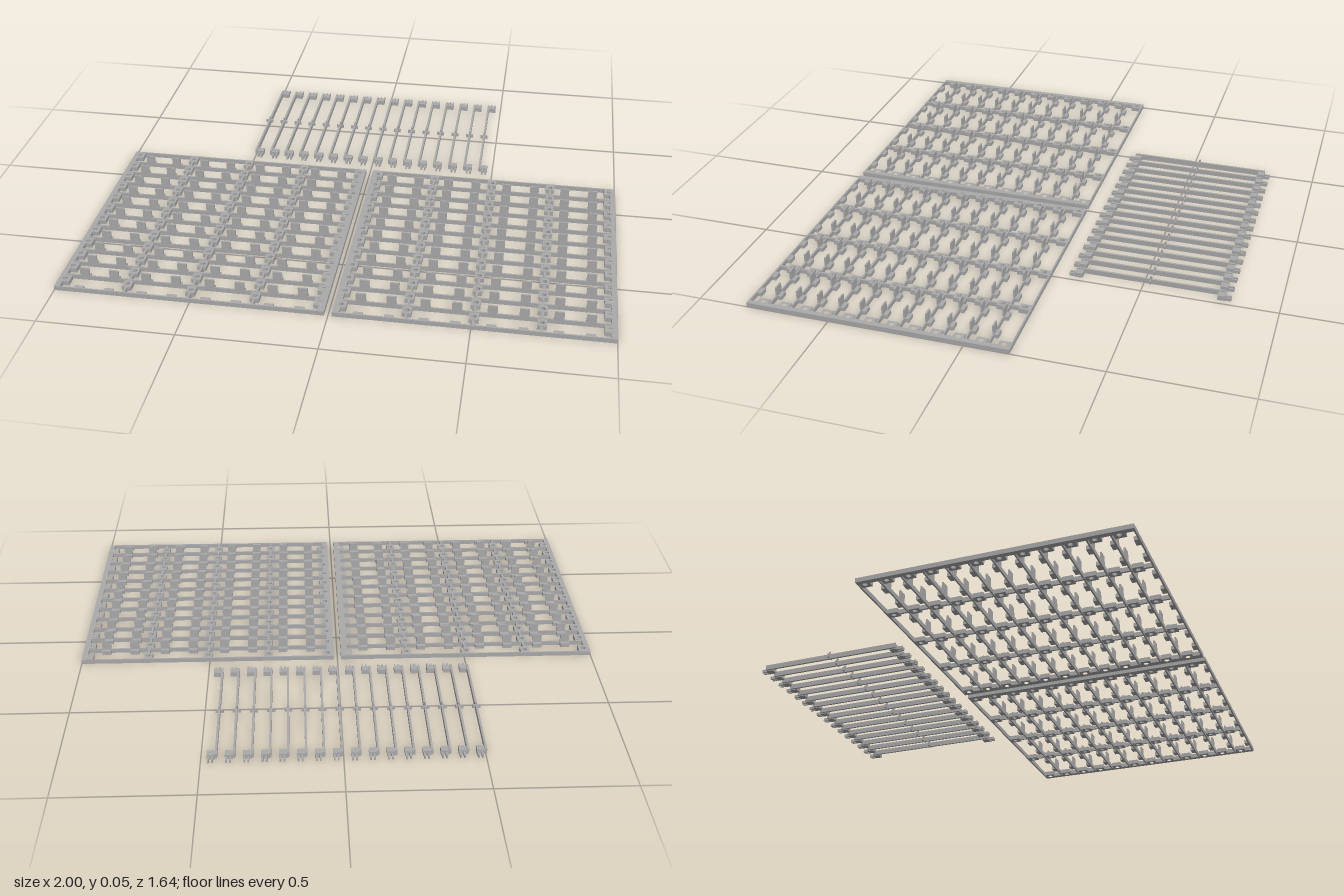
import * as THREE from 'three';

const gray = new THREE.MeshStandardMaterial({ color: 0xaaaaaa });
gray.name = 'plain gray';

const H = 0.017;            // frame height
const Z0 = -0.165;          // back edge of the grids
const CELLS = 12;
const PITCH = 0.98 / CELLS;
const HALF = 0.493;         // half width of one grid

function add(group, name, geometry, x = 0, y = 0, z = 0) {
  const mesh = new THREE.Mesh(geometry, gray);
  mesh.name = name;
  mesh.position.set(x, y, z);
  group.add(mesh);
}

// Box given by its limits on each axis
function block(group, name, x0, x1, y0, y1, z0, z1) {
  add(group, name, new THREE.BoxGeometry(x1 - x0, y1 - y0, z1 - z0),
    (x0 + x1) / 2, (y0 + y1) / 2, (z0 + z1) / 2);
}

// Plan shape (x, z) raised to height h
function raise(shape, h) {
  const g = new THREE.ExtrudeGeometry(shape, { depth: h, bevelEnabled: false, curveSegments: 6 });
  return g.rotateX(Math.PI / 2).translate(0, h, 0);
}

function punch(shape, x, z, r) {
  const hole = new THREE.Path();
  hole.absarc(x, z, r, 0, Math.PI * 2, true);
  shape.holes.push(hole);
}

// Side rail with a drilled lug in every cell; side is -1 or 1
function sideRail(side, railWidth) {
  const edge = side * HALF, inner = side * (HALF - railWidth), lug = side * (HALF - 0.044);
  const s = new THREE.Shape();
  s.moveTo(edge, Z0);
  s.lineTo(inner, Z0);
  for (let i = 0; i < CELLS; i++) {
    const z = Z0 + i * PITCH + 0.007;
    s.lineTo(inner, z);
    s.lineTo(lug, z);
    s.lineTo(lug, z + 0.04);
    s.lineTo(inner, z + 0.04);
    punch(s, side * (HALF - 0.024), z + 0.02, 0.009);
  }
  s.lineTo(inner, Z0 + CELLS * PITCH);
  s.lineTo(edge, Z0 + CELLS * PITCH);
  s.closePath();
  return raise(s, H);
}

// Small drilled square on the cross ribs
function bossGeometry() {
  const s = new THREE.Shape();
  s.moveTo(-0.017, -0.02);
  s.lineTo(0.017, -0.02);
  s.lineTo(0.017, 0.02);
  s.lineTo(-0.017, 0.02);
  s.closePath();
  punch(s, 0, 0, 0.009);
  return raise(s, H);
}

function gridPanel(name, innerSide) {
  const panel = new THREE.Group();
  panel.name = name;
  add(panel, 'innerRail', sideRail(innerSide, 0.025));
  add(panel, 'outerRail', sideRail(-innerSide, 0.02));
  const boss = bossGeometry();
  const ribs = [-0.235, 0, 0.235];
  const tabs = [0.062, 0.173, 0.293, 0.403].flatMap(x => [-x, x]);

  for (let k = 0; k <= CELLS; k++) {
    const z = Z0 + k * PITCH;
    const zc = Math.min(Math.max(z, Z0 + 0.003), Z0 + CELLS * PITCH - 0.003);
    block(panel, 'slat', -HALF + 0.01, HALF - 0.01, 0, H, zc - 0.003, zc + 0.003);
    if (k === 0) continue;
    for (const x of tabs) {
      block(panel, 'tabFoot', x - 0.0175, x + 0.0175, 0, H - 0.002, zc - 0.018, zc);
      // Upright tabs on the inner slats only
      if (k < CELLS) block(panel, 'uprightTab', x - 0.0175, x + 0.0175, 0, 0.05, zc - 0.0031, zc + 0.0031);
    }
  }

  for (const x of ribs) {
    for (let k = 0; k < CELLS; k++) {
      const z = Z0 + k * PITCH;
      add(panel, 'boss', boss, x, 0, z + 0.026);
      block(panel, 'crossRib', x - 0.004, x + 0.004, 0, H - 0.001, z + 0.046, z + PITCH);
      block(panel, 'crossRib', x - 0.004, x + 0.004, 0, H - 0.001, z, z + 0.006);
    }
  }
  return panel;
}

// Loose bar with clip blocks and paired prongs at both ends
function looseBar() {
  const bar = new THREE.Group();
  bar.name = 'looseBar';
  const mid = -0.525;
  block(bar, 'barBody', -0.004, 0.004, 0.003, 0.022, mid - 0.277, mid + 0.277);
  block(bar, 'centrePeg', -0.016, 0.014, 0.006, 0.02, mid - 0.003, mid + 0.003);
  block(bar, 'centrePin', -0.003, 0.003, 0.02, 0.033, mid - 0.003, mid + 0.003);
  for (const s of [-1, 1]) {
    const at = (a, b) => [Math.min(mid + s * a, mid + s * b), Math.max(mid + s * a, mid + s * b)];
    block(bar, 'clipBlock', 0.003, 0.032, 0, 0.018, ...at(0.25, 0.278));
    for (const x of [0.013, 0.027])
      block(bar, 'prong', x - 0.003, x + 0.003, 0, 0.012, ...at(0.277, 0.3));
  }
  return bar;
}

export function createModel() {
  const model = new THREE.Group();
  model.name = 'gridKit';
  for (const side of [-1, 1]) {
    const panel = gridPanel(side > 0 ? 'leftGrid' : 'rightGrid', -side);
    panel.position.x = side * 0.507;
    model.add(panel);
  }
  for (let i = 0; i < 16; i++) {
    const bar = looseBar();
    bar.position.x = -0.5 + i * 0.0631;
    model.add(bar);
  }
  return model;
}
